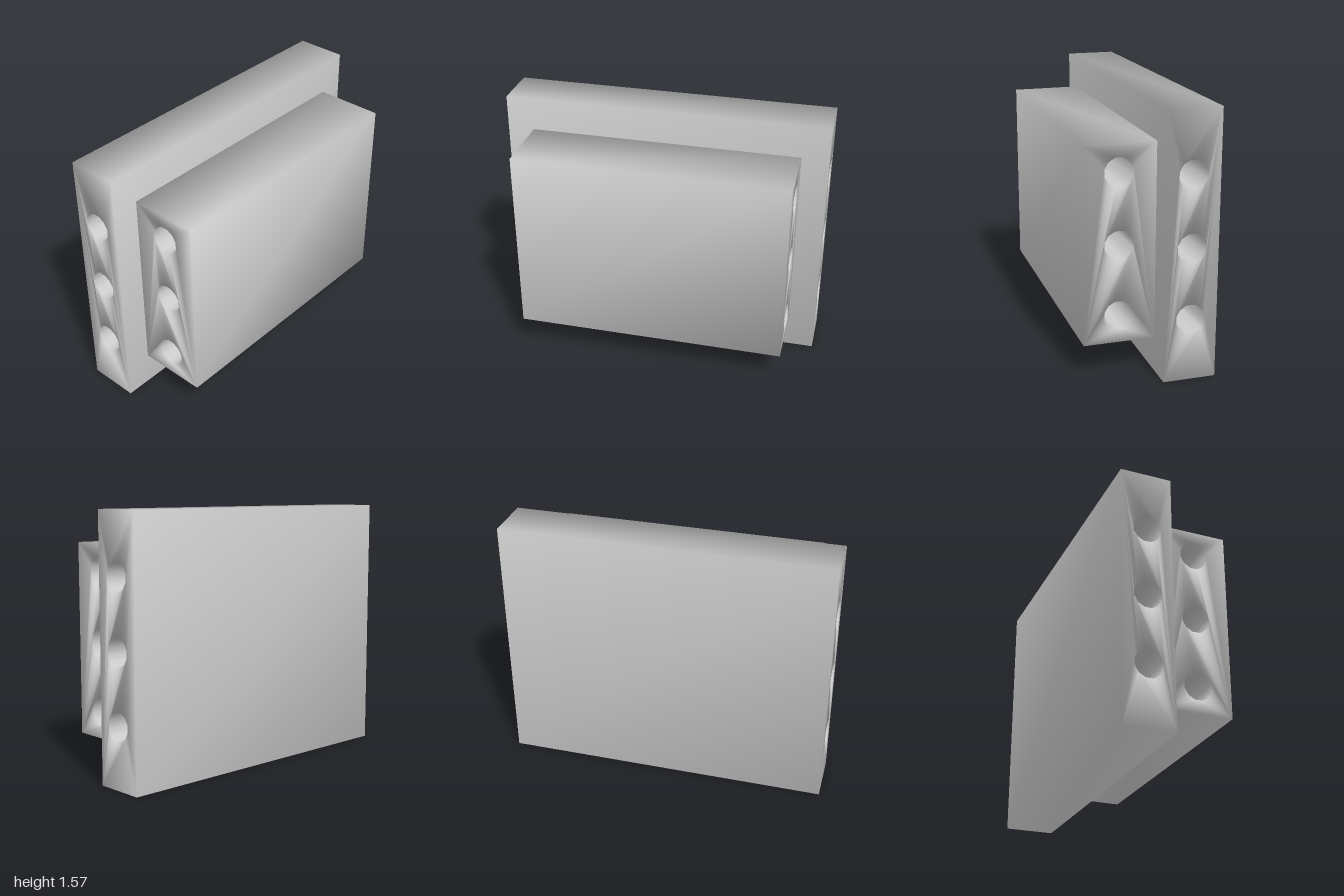
import * as THREE from 'three';
import { mergeVertices } from 'three/addons/utils/BufferGeometryUtils.js';

const HOLE_HEIGHTS = [0.37, 0.787, 1.205];
const HOLE_RADIUS = 0.086;
const HOLE_SIDES = 12;

// A round channel outline in the slab's side profile
function channel(cx, cy) {
  const points = [];
  for (let i = 0; i < HOLE_SIDES; i++) {
    const a = ((i + 0.5) / HOLE_SIDES) * Math.PI * 2;
    points.push(new THREE.Vector2(cx + HOLE_RADIUS * Math.cos(a), cy + HOLE_RADIUS * Math.sin(a)));
  }
  return new THREE.Path(points);
}

// A slab drawn in side profile (shape x = -z) and extruded across the width,
// with three channels running right through it from side to side
function slab(name, { width, bottom, top, back, front, holeZ }, material) {
  const profile = new THREE.Shape([
    new THREE.Vector2(-front, bottom),
    new THREE.Vector2(-back, bottom),
    new THREE.Vector2(-back, top),
    new THREE.Vector2(-front, top),
  ]);
  profile.holes = HOLE_HEIGHTS.map((y) => channel(-holeZ, y));

  let geometry = new THREE.ExtrudeGeometry(profile, { depth: width, bevelEnabled: false });
  geometry.translate(0, 0, -width / 2);
  geometry.rotateY(Math.PI / 2);

  // Shared corners give smooth shading over the whole slab
  geometry.deleteAttribute('normal');
  geometry.deleteAttribute('uv');
  geometry = mergeVertices(geometry);
  geometry.computeVertexNormals();

  const mesh = new THREE.Mesh(geometry, material);
  mesh.name = name;
  return mesh;
}

export function createModel() {
  const model = new THREE.Group();
  model.name = 'steppedPanel';
  const grey = new THREE.MeshStandardMaterial({ color: 0xcccccc });

  // Large rear slab standing on the ground
  model.add(slab('backSlab', {
    width: 2, bottom: 0, top: 1.57, back: -0.365, front: -0.055, holeZ: -0.208,
  }, grey));

  // Smaller, thicker slab on its front face
  model.add(slab('frontSlab', {
    width: 1.67, bottom: 0.206, top: 1.366, back: -0.055, front: 0.365, holeZ: 0.16,
  }, grey));

  return model;
}
